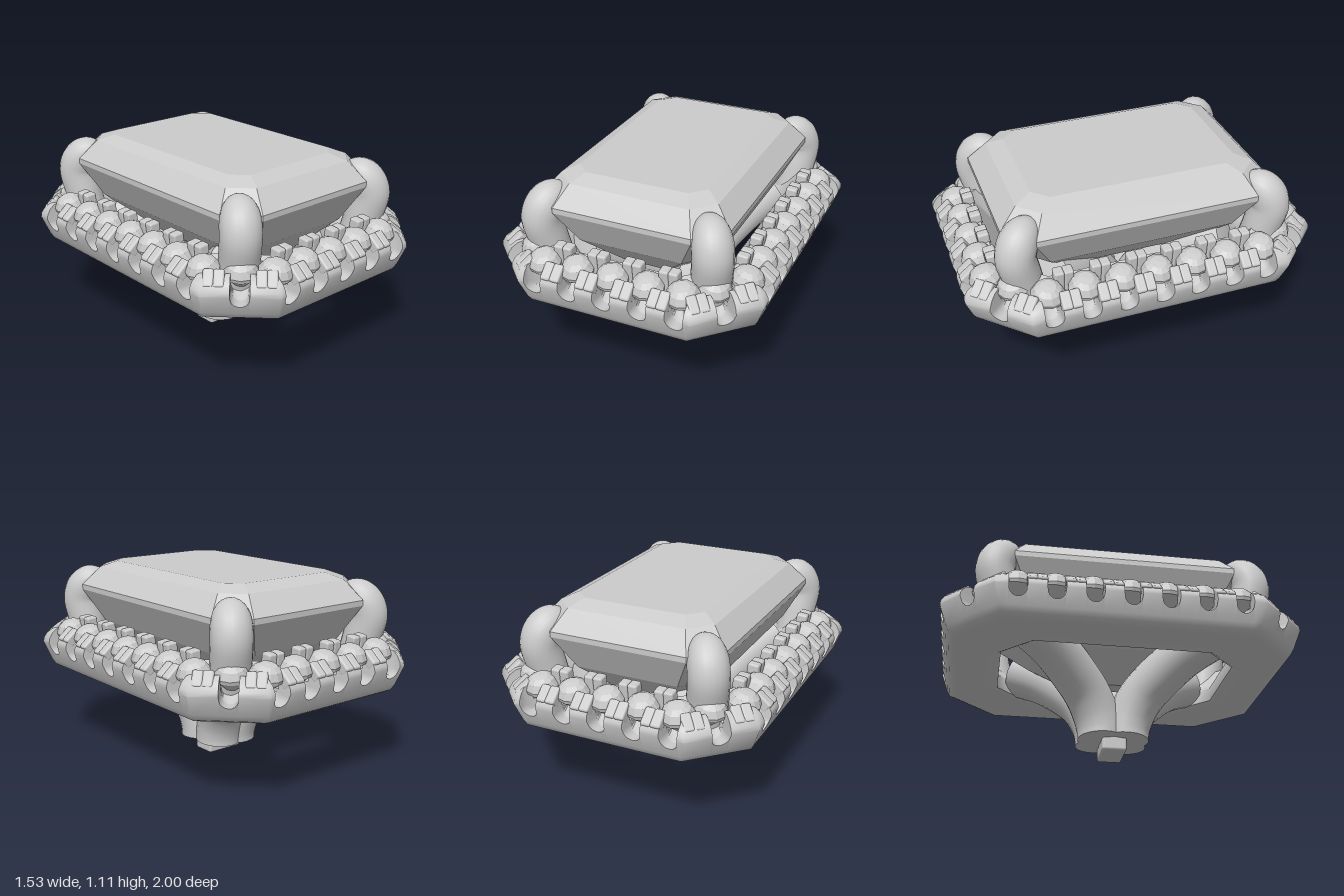
import * as THREE from 'three';
import { toCreasedNormals } from 'three/addons/utils/BufferGeometryUtils.js';
import { RoundedBoxGeometry } from 'three/addons/geometries/RoundedBoxGeometry.js';

const smooth = new THREE.MeshStandardMaterial({ color: 0xcccccc });
const faceted = new THREE.MeshStandardMaterial({ color: 0xcccccc, flatShading: true });

// Outline of the halo: an octagon with half sizes and corner cut
const HX = 0.765, HZ = 1.0, CUT = 0.28;

// Side k of the octagon inset by d: outward angle, distance from centre, half length
function side(k, d, hx = HX, hz = HZ, cut = CUT - 0.3 * d) {
  const a = k * Math.PI / 4, x = hx - d, z = hz - d;
  if (k % 2) return { a, half: cut / Math.SQRT2, mid: [x - cut / 2, z - cut / 2] };
  return k % 4 ? { a, half: x - cut, mid: [0, z] } : { a, half: z - cut, mid: [x, 0] };
}

// Point at distance s along side k, inset by d, at height y
function onSide(k, s, d, y, ...size) {
  const e = side(k, d, ...size), c = Math.cos(e.a), n = Math.sin(e.a);
  s = THREE.MathUtils.clamp(s, -e.half, e.half);
  return new THREE.Vector3(Math.sign(c) * e.mid[0] - n * s, y, Math.sign(n) * e.mid[1] + c * s);
}

// Skin over rows of closed loops
function skin(rows, wrap) {
  const n = rows[0].length, index = [];
  for (let i = 0; i < rows.length - (wrap ? 0 : 1); i++) {
    const i2 = (i + 1) % rows.length;
    for (let j = 0; j < n; j++) {
      const j2 = (j + 1) % n;
      const a = i * n + j, b = i * n + j2, c = i2 * n + j, d = i2 * n + j2;
      index.push(a, b, c, b, d, c);
    }
  }
  const geo = new THREE.BufferGeometry().setFromPoints(rows.flat());
  geo.setIndex(index);
  return geo;
}

// Tube whose radius follows a rule along its length
function taperTube(points, radius) {
  const N = 48, R = 20;
  const curve = new THREE.CatmullRomCurve3(points.map(p => new THREE.Vector3(...p)));
  const geo = new THREE.TubeGeometry(curve, N, 1, R);
  const pos = geo.attributes.position, v = new THREE.Vector3();
  for (let i = 0; i <= N; i++) {
    const c = curve.getPointAt(i / N), r = radius(i / N);
    for (let j = 0; j <= R; j++) {
      const id = i * (R + 1) + j;
      v.fromBufferAttribute(pos, id).sub(c).multiplyScalar(r).add(c);
      pos.setXYZ(id, v.x, v.y, v.z);
    }
  }
  return toCreasedNormals(geo, 0.9);
}

// Small stone and post positions along each side
const range = (n) => Array.from({ length: n }, (_, i) => (i - (n - 1) / 2) * 0.2);
const stonesOn = (k) => (k % 2 ? [0] : range(k % 4 ? 5 : 7));
const postsOn = (k) => (k % 2 ? [-0.13, 0.13] : range(k % 4 ? 4 : 6));

// Halo rail: channel section with a U notch in the outer wall at each stone
function haloRail() {
  const profile = [[0.34, 0.49], [0.32, 0.475], [0.12, 0.475], [0.085, 0.48], [0.055, 0.497], [0.037, 0.53],
    [0, 0.635], [0.004, 0.66], [0.02, 0.69], [0.05, 0.715], [0.08, 0.72], [0.09, 0.64], [0.165, 0.65],
    [0.175, 0.74], [0.21, 0.755], [0.235, 0.72], [0.32, 0.6], [0.34, 0.57]];
  const w = 0.047, rows = [];
  for (let k = 0; k < 8; k++) {
    const end = side(k, 0).half;
    const samples = [[-end, 9]];
    for (const s0 of stonesOn(k)) {
      samples.push([s0 - w - 0.002, 9]);
      for (let i = 0; i <= 10; i++) {
        const t = Math.PI * i / 10;
        samples.push([s0 - w * Math.cos(t), 0.62 - w * Math.sin(t)]);
      }
      samples.push([s0 + w + 0.002, 9]);
    }
    samples.push([end, 9]);
    for (const [s, top] of samples) {
      rows.push(profile.map(([d, y]) => {
        if (d > 0.1 || y <= top) return onSide(k, s, d, y);
        return onSide(k, s, Math.max(d, 0.35 * (0.635 - top)), top);
      }));
    }
  }
  return toCreasedNormals(skin(rows, true), 0.85);
}

// Step-cut centre stone: octagon rings from the table down to the keel
function centreStone() {
  const levels = [[1.11, 0, 0, 0], [1.11, 0.37, 0.575, 0.08], [1.075, 0.45, 0.67, 0.11], [0.97, 0.54, 0.77, 0.15],
    [0.94, 0.54, 0.77, 0.15], [0.75, 0.44, 0.67, 0.145], [0.56, 0.25, 0.48, 0.12], [0.42, 0.05, 0.28, 0.03], [0.42, 0, 0, 0]];
  const rows = levels.map(([y, hx, hz, cut]) => Array.from({ length: 8 }, (_, k) => {
    const e = side(k, 0, hx, hz, cut);
    return onSide(k, e.half, 0, y, hx, hz, cut);
  }));
  return skin(rows, false).toNonIndexed();
}

export function createModel() {
  const model = new THREE.Group();
  const add = (name, geo, mat = smooth, parent = model) => {
    if (!geo.attributes.normal) geo.computeVertexNormals();
    const mesh = new THREE.Mesh(geo, mat);
    mesh.name = name;
    parent.add(mesh);
    return mesh;
  };

  add('haloRail', haloRail());
  add('centreStone', centreStone(), faceted);

  // Small round stones and the posts holding them
  const stoneGeo = new THREE.LatheGeometry([[0, -0.11], [0.088, -0.012], [0.09, 0.008], [0.07, 0.045], [0.042, 0.064], [0, 0.068]]
    .map(p => new THREE.Vector2(...p)), 12);
  const outerGeo = new RoundedBoxGeometry(0.056, 0.06, 0.1, 2, 0.012);
  const innerGeo = new RoundedBoxGeometry(0.054, 0.13, 0.065, 2, 0.012);
  const halo = new THREE.Group();
  halo.name = 'haloStones';
  model.add(halo);
  const place = (mesh, k, s, d, y, tilt) => {
    mesh.position.copy(onSide(k, s, d, y));
    mesh.rotation.set(tilt, Math.PI / 2 - k * Math.PI / 4, 0, 'YXZ');
  };
  for (let k = 0; k < 8; k++) {
    for (const s of stonesOn(k)) place(add('smallStone', stoneGeo, faceted, halo), k, s, 0.132, 0.705, 0.25);
    for (const s of postsOn(k)) {
      for (const off of [-0.026, 0.026]) {
        place(add('outerPost', outerGeo, smooth, halo), k, s + off, 0.06, 0.695, 0.7);
        if (k % 2 === 0) place(add('innerPost', innerGeo, smooth, halo), k, s + off, 0.19, 0.737, 0.1);
      }
    }
  }

  // Claws over the corners of the centre stone, and legs merging into the stem
  const clawRadius = u => 0.108 * (u < 0.65 ? 1 : Math.sqrt(Math.max(0, 1 - ((u - 0.65) / 0.35) ** 2)));
  const legRadius = u => (u === 0 || u === 1 ? 0 : 0.132);
  const claw = [[0.45, 0.56, 0.66], [0.475, 0.74, 0.695], [0.49, 0.88, 0.72], [0.465, 0.965, 0.685], [0.395, 1.015, 0.59]];
  const leg = [[0.056, 0.062, 0.07], [0.056, 0.13, 0.075], [0.066, 0.22, 0.1], [0.1, 0.33, 0.155], [0.165, 0.43, 0.245],
    [0.26, 0.54, 0.375], [0.37, 0.63, 0.54]];
  for (const sx of [-1, 1]) for (const sz of [-1, 1]) {
    const mirror = path => path.map(([x, y, z]) => [x * sx, y, z * sz]);
    add('claw', taperTube(mirror(claw), clawRadius));
    add('leg', taperTube(mirror(leg), legRadius));
  }

  // Tab under the stem
  add('baseTab', new RoundedBoxGeometry(0.23, 0.12, 0.14, 3, 0.015)).position.y = 0.06;
  return model;
}
